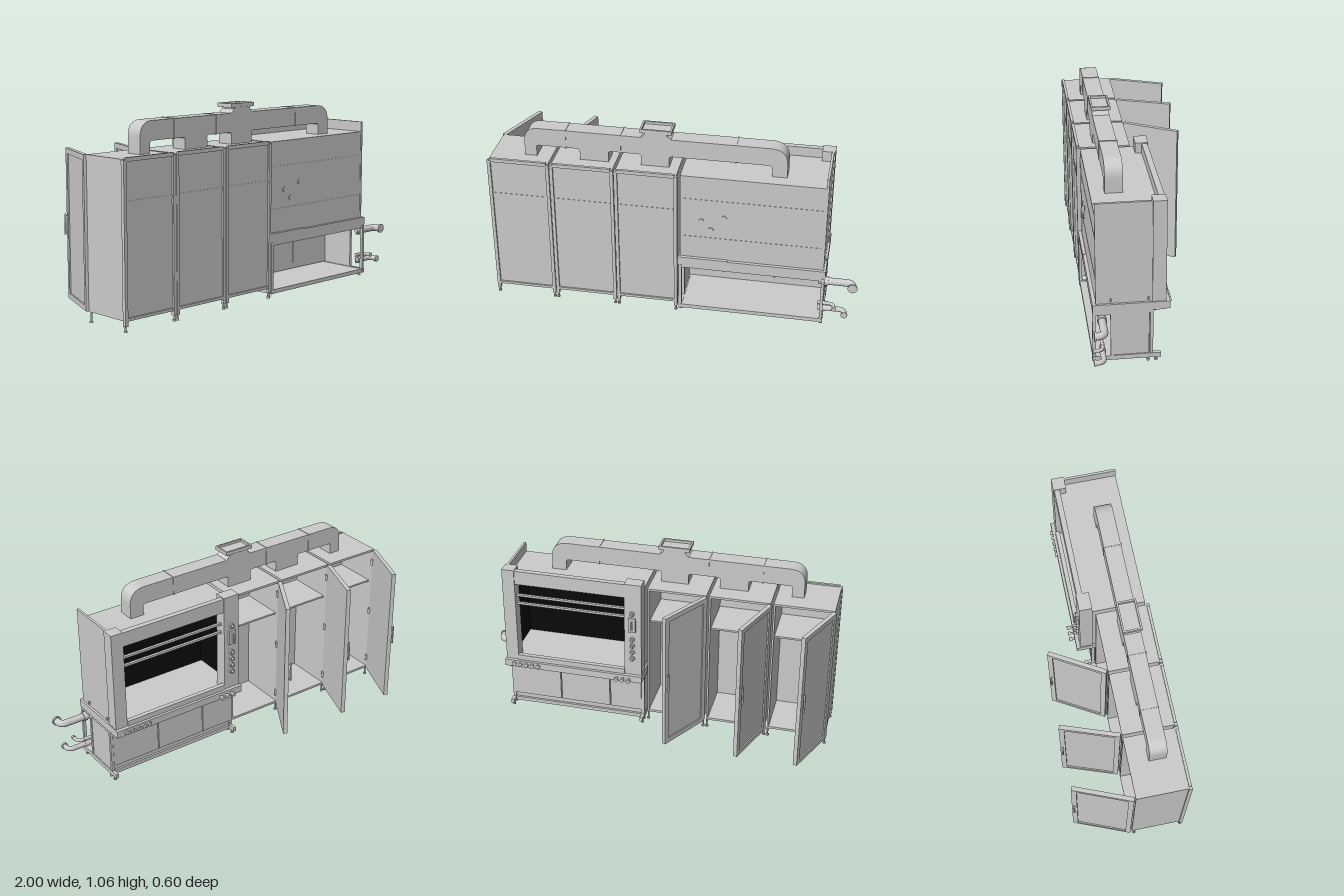
import * as THREE from 'three';

export function createModel() {
  const model = new THREE.Group();
  const grey = new THREE.MeshStandardMaterial({ color: 0xcccccc });
  const dark = new THREE.MeshStandardMaterial({ color: 0x0a0a0a });

  const add = (name, geo, parent = model, mat = grey) => {
    const m = new THREE.Mesh(geo, mat);
    m.name = name;
    parent.add(m);
    return m;
  };
  // Box given by its extents on each axis
  const box = (name, x0, x1, y0, y1, z0, z1, parent = model, mat = grey) => {
    const m = add(name, new THREE.BoxGeometry(x1 - x0, y1 - y0, z1 - z0), parent, mat);
    m.position.set((x0 + x1) / 2, (y0 + y1) / 2, (z0 + z1) / 2);
    return m;
  };
  // Cylinder centred at a point, along axis 'x', 'y' or 'z'
  const cyl = (name, r, len, axis, x, y, z, parent = model, sides = 16) => {
    const g = new THREE.CylinderGeometry(r, r, len, sides);
    if (axis === 'x') g.rotateZ(Math.PI / 2);
    if (axis === 'z') g.rotateX(Math.PI / 2);
    const m = add(name, g, parent);
    m.position.set(x, y, z);
    return m;
  };
  const foot = (x, z, top, parent) => {
    cyl('footStem', 0.005, top, 'y', x, top / 2, z, parent, 10);
    cyl('footPad', 0.009, 0.008, 'y', x, 0.004, z, parent, 12);
  };

  // Tall cabinets with open doors
  const cabinets = [
    { x0: -0.99, x1: -0.665, dx: 0.12, dz: 0.3 },
    { x0: -0.65, x1: -0.318, dx: 0.105, dz: 0.3 },
    { x0: -0.303, x1: 0.022, dx: 0.16, dz: 0.28 },
  ];
  for (const { x0, x1, dx, dz } of cabinets) {
    const c = new THREE.Group();
    c.name = 'tallCabinet';
    model.add(c);
    for (const x of [x0, x1 - 0.01]) box('sidePanel', x, x + 0.01, 0.055, 0.845, 0.01, 0.292, c);
    box('backPanel', x0, x1, 0.055, 0.845, 0.28, 0.29, c);
    box('topPanel', x0, x1, 0.835, 0.847, 0.01, 0.292, c);
    box('bottomPanel', x0, x1, 0.055, 0.068, 0.01, 0.292, c);
    box('shelf', x0 + 0.01, x1 - 0.01, 0.632, 0.642, 0.03, 0.28, c);
    box('backRail', x0 + 0.01, x1 - 0.01, 0.625, 0.645, 0.288, 0.292, c);
    box('topLip', x0 + 0.01, x1 - 0.01, 0.835, 0.855, 0.283, 0.298, c);
    box('bottomLip', x0 + 0.01, x1 - 0.01, 0.055, 0.07, 0.286, 0.298, c);
    for (const x of [x0 - 0.006, x1 - 0.012]) {
      box('rearPost', x, x + 0.018, 0.03, 0.845, 0.28, 0.3, c);
      for (const z of [0.025, 0.29]) foot(x + 0.009, z, 0.055, c);
    }

    // Door: hinged on the low-x edge, outer face on local -z
    const d = new THREE.Group();
    d.name = 'cabinetDoor';
    d.position.set(x0 + 0.005, 0, 0.005);
    d.rotation.y = Math.atan2(dz, dx);
    c.add(d);
    const w = Math.hypot(dx, dz);
    box('doorPanel', 0, w, 0.055, 0.845, -0.008, 0.008, d);
    for (const x of [0, w - 0.028]) box('doorStile', x, x + 0.028, 0.055, 0.845, -0.015, -0.006, d);
    for (const y of [0.055, 0.817]) box('doorRail', 0.028, w - 0.028, y, y + 0.028, -0.015, -0.006, d);
    cyl('doorHandle', 0.005, 0.11, 'y', w - 0.014, 0.45, -0.027, d, 10);
    for (const y of [0.405, 0.495]) cyl('handlePost', 0.004, 0.014, 'z', w - 0.014, y, -0.02, d, 8);
    for (const y of [0.13, 0.45, 0.77]) cyl('hinge', 0.008, 0.035, 'y', 0.004, y, 0.01, d, 10);
  }

  // Exhaust duct: one outline with bends and drops
  const s = new THREE.Shape();
  s.moveTo(-0.81, 0.845);
  s.lineTo(-0.81, 0.93);
  s.quadraticCurveTo(-0.81, 1.01, -0.73, 1.01);
  for (const [x, y] of [[-0.18, 1.01], [-0.158, 1.03], [-0.158, 1.045], [-0.042, 1.045], [-0.042, 1.03], [-0.02, 1.01]]) s.lineTo(x, y);
  s.lineTo(0.5, 1.01);
  s.quadraticCurveTo(0.59, 1.01, 0.59, 0.92);
  s.lineTo(0.59, 0.845);
  s.lineTo(0.51, 0.845);
  s.lineTo(0.51, 0.895);
  s.quadraticCurveTo(0.51, 0.91, 0.49, 0.91);
  for (const [a, b] of [[-0.18, -0.03], [-0.51, -0.355]]) {
    s.lineTo(b + 0.015, 0.91);
    s.quadraticCurveTo(b, 0.91, b, 0.895);
    s.lineTo(b, 0.845);
    s.lineTo(a, 0.845);
    s.lineTo(a, 0.895);
    s.quadraticCurveTo(a, 0.91, a - 0.015, 0.91);
  }
  s.lineTo(-0.73, 0.91);
  s.quadraticCurveTo(-0.745, 0.91, -0.745, 0.895);
  s.lineTo(-0.745, 0.845);
  s.closePath();
  add('exhaustDuct', new THREE.ExtrudeGeometry(s, { depth: 0.092, bevelEnabled: false, curveSegments: 10 }))
    .position.z = 0.114;
  for (const x of [-0.585, -0.29, 0.32]) box('ductSeam', x - 0.003, x + 0.003, 0.907, 1.013, 0.111, 0.209);
  // Open collar on top of the duct
  for (const x of [-0.185, -0.025]) box('collarSide', x, x + 0.01, 1.04, 1.06, 0.108, 0.212);
  for (const z of [0.108, 0.202]) box('collarEnd', -0.185, -0.015, 1.04, 1.06, z, z + 0.01);
  box('collarBase', -0.18, -0.02, 1.038, 1.046, 0.11, 0.21);

  // Fume hood shell
  box('hoodBack', 0.05, 0.8, 0.345, 0.84, 0.265, 0.278);
  for (const y of [0.48, 0.71]) box('backSeam', 0.055, 0.79, y - 0.002, y + 0.002, 0.27, 0.28);
  box('hoodTop', 0.045, 0.805, 0.835, 0.847, -0.05, 0.28);
  box('leftWall', 0.8, 0.813, 0.345, 0.903, -0.01, 0.28);
  box('rightWall', 0.04, 0.053, 0.345, 0.847, -0.01, 0.28);
  box('leftColumn', 0.75, 0.82, 0.345, 0.905, -0.075, -0.005);
  box('rightColumn', 0.035, 0.13, 0.345, 0.905, -0.075, -0.005);
  box('fascia', 0.13, 0.75, 0.82, 0.9, -0.07, -0.04);
  // Dark lining of the work chamber
  box('backLining', 0.053, 0.8, 0.345, 0.835, 0.255, 0.265, model, dark);
  box('ceilingLining', 0.053, 0.8, 0.825, 0.835, -0.04, 0.26, model, dark);
  for (const x of [0.053, 0.792]) box('sideLining', x, x + 0.008, 0.35, 0.83, -0.005, 0.258, model, dark);
  // Sash rails and sill
  for (const y of [0.685, 0.735]) box('sashRail', 0.13, 0.75, y, y + 0.012, -0.05, -0.035);
  box('sill', 0.13, 0.75, 0.345, 0.375, -0.08, -0.055);
  // Service ports on the rear panel
  for (const [x, y] of [[0.155, 0.58], [0.275, 0.61], [0.205, 0.53]]) cyl('rearPort', 0.015, 0.006, 'z', x, y, 0.28);

  // Worktop and its front apron
  box('worktop', 0.03, 0.825, 0.302, 0.347, -0.075, 0.296);
  box('apron', 0.03, 0.825, 0.305, 0.345, -0.095, -0.07);
  box('rearTrim', 0.03, 0.3, 0.325, 0.352, 0.28, 0.298);
  for (const x of [0.1, 0.135, 0.17]) {
    cyl('valveStem', 0.006, 0.03, 'z', x, 0.324, -0.105);
    cyl('valveKnob', 0.011, 0.016, 'z', x, 0.324, -0.118);
  }
  for (const x of [0.63, 0.665, 0.7, 0.735, 0.77]) cyl('socket', 0.012, 0.012, 'z', x, 0.325, -0.1);
  // Controls on the right column
  box('controlPanel', 0.065, 0.105, 0.62, 0.705, -0.088, -0.07);
  for (const y of [0.64, 0.655, 0.67, 0.685]) cyl('button', 0.005, 0.02, 'z', 0.085, y, -0.092, model, 10);
  for (const y of [0.73, 0.57, 0.53, 0.49, 0.45]) {
    cyl('controlBase', 0.014, 0.012, 'z', 0.085, y, -0.08);
    cyl('controlKnob', 0.007, 0.024, 'z', 0.085, y, -0.088);
  }

  // Base under the worktop, open to the rear
  box('baseFloor', 0.045, 0.815, 0.02, 0.042, -0.008, 0.296);
  box('baseFront', 0.05, 0.81, 0.045, 0.302, 0, 0.008);
  const doorEdges = [0.05, 0.235, 0.525, 0.81];
  for (let i = 0; i < 3; i++) {
    const a = doorEdges[i], b = doorEdges[i + 1], mid = i ? b - 0.08 : a + 0.08;
    box('baseDoor', a + 0.003, b - 0.003, 0.075, 0.298, -0.012, 0);
    box('baseDoorHandle', mid - 0.045, mid + 0.045, 0.265, 0.271, -0.03, -0.024);
    for (const x of [mid - 0.04, mid + 0.035]) box('handleLeg', x, x + 0.005, 0.265, 0.271, -0.025, -0.01);
  }
  for (const x of [0.235, 0.525]) box('doorDivider', x - 0.004, x + 0.004, 0.08, 0.3, 0.006, 0.014);
  box('rearTopRail', 0.05, 0.81, 0.285, 0.303, 0.28, 0.294);
  for (const x of [0.035, 0.805]) {
    box('footRail', x, x + 0.018, 0.02, 0.045, -0.05, 0.3);
    box('endPanel', x + 0.004, x + 0.012, 0.045, 0.302, 0.01, 0.195);
    for (const z of [-0.01, 0.19, 0.282]) box('endPost', x, x + 0.016, 0.04, 0.302, z, z + 0.016);
    box('endTopRail', x, x + 0.016, 0.285, 0.302, 0, 0.29);
    for (const z of [-0.025, 0.015, 0.27]) foot(x + 0.009, z, 0.022, model);
  }
  // Bolts on the left end
  for (const y of [0.028, 0.037, 0.362, 0.372]) for (const z of [0.015, 0.205]) cyl('bolt', 0.004, 0.014, 'x', 0.815, y, z, model, 8);

  // Connection pipes leaving the base and turning to the rear
  for (const [y, r, end, z] of [[0.262, 0.02, 0.972, 0.25], [0.117, 0.009, 0.88, 0.25], [0.085, 0.014, 0.938, 0.25]]) {
    const path = new THREE.CurvePath();
    const v = (x, zz) => new THREE.Vector3(x, y, zz);
    path.add(new THREE.LineCurve3(v(0.79, z), v(end - 0.035, z)));
    path.add(new THREE.QuadraticBezierCurve3(v(end - 0.035, z), v(end, z), v(end, z + 0.035)));
    path.add(new THREE.LineCurve3(v(end, z + 0.035), v(end, 0.298)));
    add('pipe', new THREE.TubeGeometry(path, 36, r, 16, false));
    cyl('pipeFlange', r * 1.3, 0.01, 'z', end, y, 0.298);
    cyl('pipeCollar', r * 1.25, 0.02, 'x', 0.83, y, z);
  }
  return model;
}
